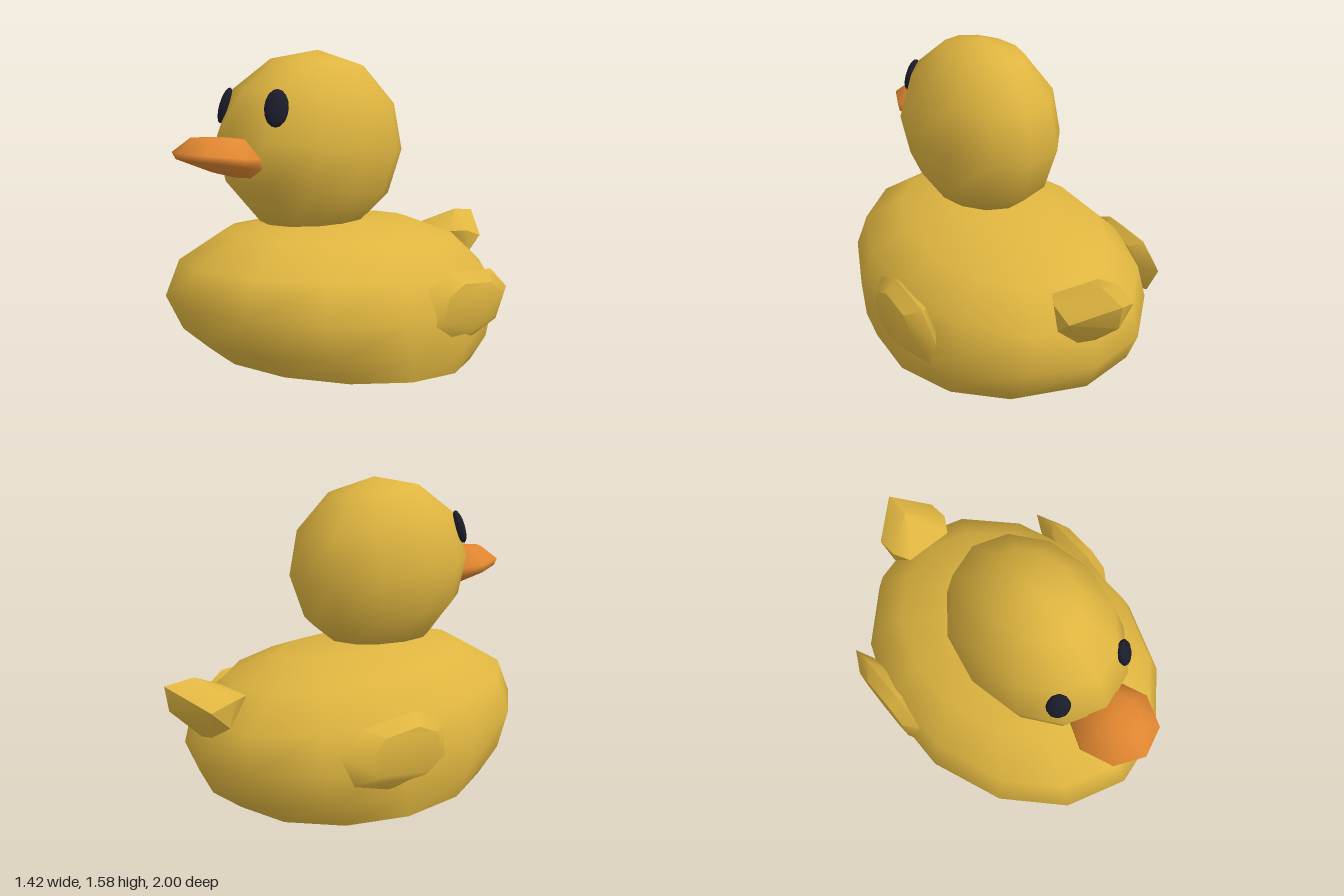
import * as THREE from 'three';
import { toCreasedNormals } from 'three/addons/utils/BufferGeometryUtils.js';
import { ConvexGeometry } from 'three/addons/geometries/ConvexGeometry.js';

const yellow = new THREE.MeshStandardMaterial({ name: 'duckYellow', color: 0xdfb540 });
const orange = new THREE.MeshStandardMaterial({ name: 'beakOrange', color: 0xe08630 });
const black = new THREE.MeshStandardMaterial({ name: 'eyeBlack', color: 0x1c1d2b });

function part(name, geometry, material) {
  const mesh = new THREE.Mesh(geometry, material);
  mesh.name = name;
  return mesh;
}

// Smooth skin over tilted elliptical rings, listed bottom to top.
// Each ring: [front z, front y, back z, back y, half width]; caps are [z, y] points.
function loft(rings, sides, bottom, top, sharpBottom = false) {
  const pos = [], index = [];
  const addRing = ([zf, yf, zb, yb, w]) => {
    const start = pos.length / 3;
    for (let j = 0; j < sides; j++) {
      const a = (j / sides) * Math.PI * 2, t = (1 + Math.cos(a)) / 2;
      pos.push(w * Math.sin(a), yb + (yf - yb) * t, zb + (zf - zb) * t);
    }
    return start;
  };
  const addPoint = ([z, y]) => pos.push(0, y, z) / 3 - 1;
  const starts = rings.map(addRing);
  const base = sharpBottom ? addRing(rings[0]) : starts[0];
  const low = addPoint(bottom), high = addPoint(top), last = starts[starts.length - 1];
  for (let j = 0; j < sides; j++) {
    const k = (j + 1) % sides;
    for (let i = 0; i < starts.length - 1; i++) {
      const a = starts[i], b = starts[i + 1];
      index.push(a + j, a + k, b + k, a + j, b + k, b + j);
    }
    index.push(base + k, base + j, low, last + j, last + k, high);
  }
  const g = new THREE.BufferGeometry();
  g.setAttribute('position', new THREE.Float32BufferAttribute(pos, 3));
  g.setIndex(index);
  g.computeVertexNormals();
  return g;
}

// Convex solid with only its stronger edges kept sharp
function hull(points, crease) {
  const g = new ConvexGeometry(points.map(p => new THREE.Vector3(...p)));
  return toCreasedNormals(g, crease);
}

export function createModel() {
  const duck = new THREE.Group();
  duck.name = 'duck';

  // Body with a flat, slightly tilted base
  duck.add(part('body', loft([
    [0.72, 0.12, -0.62, 0.0, 0.67],
    [0.88, 0.25, -0.77, 0.11, 0.705],
    [0.98, 0.43, -0.85, 0.27, 0.71],
    [0.91, 0.60, -0.81, 0.45, 0.655],
    [0.67, 0.73, -0.64, 0.61, 0.49],
    [0.38, 0.77, -0.36, 0.72, 0.25],
  ], 14, [0.05, 0.06], [0.15, 0.77], true), yellow));

  // Head, sunk a little into the body
  duck.add(part('head', loft([
    [0.51, 0.76, -0.06, 0.76, 0.22],
    [0.69, 0.97, -0.19, 0.86, 0.33],
    [0.73, 1.17, -0.27, 1.08, 0.38],
    [0.64, 1.40, -0.23, 1.31, 0.33],
    [0.44, 1.54, -0.06, 1.50, 0.19],
  ], 12, [0.22, 0.68], [0.19, 1.58]), yellow));

  // Beak
  duck.add(part('beak', loft([
    [0.80, 1.03, 0.62, 0.99, 0.10],
    [0.98, 1.10, 0.58, 1.03, 0.195],
    [1.00, 1.13, 0.58, 1.08, 0.20],
    [0.92, 1.19, 0.64, 1.175, 0.11],
  ], 8, [0.70, 1.0], [0.78, 1.19]), orange));

  // Tail: upturned wedge
  const tail = [[0, 0.69, -0.85], [0, 0.67, -1.0], [0, 0.55, -0.98], [0, 0.40, -0.82], [0, 0.42, -0.68]];
  for (const s of [1, -1]) {
    tail.push([s * 0.13, 0.60, -0.65], [s * 0.18, 0.60, -0.74], [s * 0.18, 0.56, -0.86],
      [s * 0.17, 0.47, -0.76], [s * 0.10, 0.42, -0.82]);
  }
  duck.add(part('tail', hull(tail, 0.6), yellow));

  // Wings: flattened pods, [z, y] outline with a smaller face on each side
  const outline = [[0.10, 0.48], [-0.07, 0.55], [-0.36, 0.52], [-0.49, 0.41],
    [-0.41, 0.26], [-0.20, 0.20], [0.00, 0.21], [0.15, 0.30]];
  for (const s of [1, -1]) {
    const side = s > 0 ? 'left' : 'right';
    const points = [];
    for (const [x, k] of [[0.60, 0.72], [0.65, 1], [0.712, 0.66]]) {
      for (const [z, y] of outline) {
        points.push([s * x, 0.39 + (y - 0.39) * k, -0.14 + (z + 0.14) * k]);
      }
    }
    duck.add(part(side + 'Wing', hull(points, 0.8), yellow));

    // Eyes: flattened ovals lying on the head
    const eye = part(side + 'Eye', new THREE.SphereGeometry(1, 10, 8), black);
    eye.scale.set(0.056, 0.088, 0.028);
    eye.position.set(s * 0.193, 1.318, 0.605);
    eye.lookAt(s * 1.193, 1.818, 1.855);
    duck.add(eye);
  }
  return duck;
}
